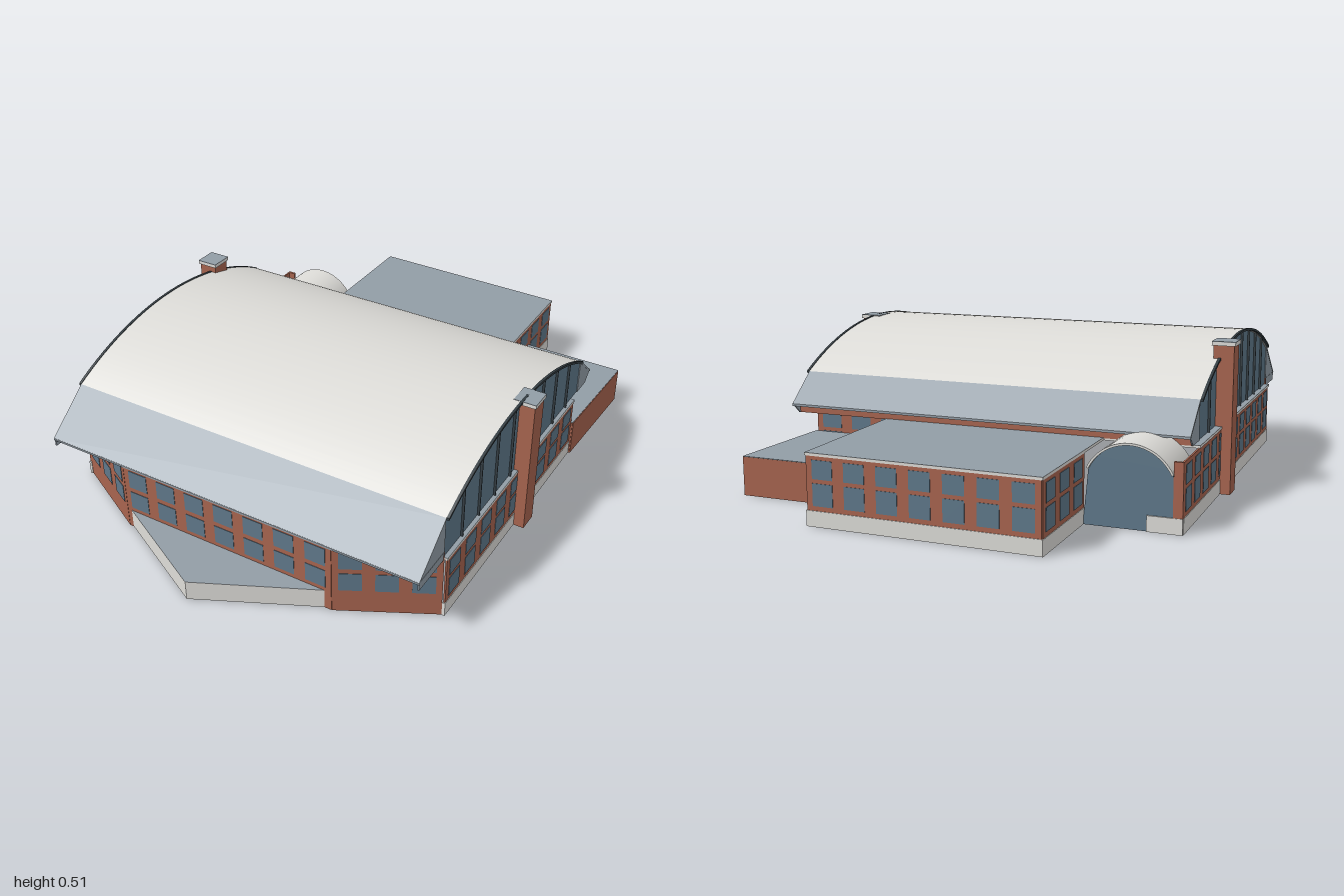
import * as THREE from 'three';
import { toCreasedNormals } from 'three/addons/utils/BufferGeometryUtils.js';

const paint = (name, color) => {
  const m = new THREE.MeshStandardMaterial({ color, side: THREE.DoubleSide });
  m.name = name;
  return m;
};

export function createModel() {
  const model = new THREE.Group();
  const brick = paint('brick', 0xa7644f);
  const glass = paint('glass', 0x5f788a);
  const white = paint('pale metal and concrete', 0xdddcd8);
  const slate = paint('slate roof', 0x929da6);
  const dark = paint('dark trim', 0x343d42);

  const add = (name, geo, mat, parent = model) => {
    const mesh = new THREE.Mesh(geo, mat);
    mesh.name = name;
    parent.add(mesh);
    return mesh;
  };
  const box = (name, x0, x1, y0, y1, z0, z1, mat, parent) =>
    add(name, new THREE.BoxGeometry(x1 - x0, y1 - y0, z1 - z0)
      .translate((x0 + x1) / 2, (y0 + y1) / 2, (z0 + z1) / 2), mat, parent);
  const extrude = (pts, depth) => new THREE.ExtrudeGeometry(
    new THREE.Shape(pts.map(([a, b]) => new THREE.Vector2(a, b))), { depth, bevelEnabled: false });

  // Horizontal slab from [x, z] outline
  const slab = (name, pts, y, h, mat) =>
    add(name, extrude(pts.map(([x, z]) => [x, -z]), h).rotateX(-Math.PI / 2).translate(0, y, 0), mat);

  // Side profile from [z, y] points, drawn out along x
  const across = (name, pts, x0, x1, mat) =>
    add(name, toCreasedNormals(extrude(pts.map(([z, y]) => [-z, y]), x1 - x0)
      .rotateY(Math.PI / 2).translate(x0, 0, 0), 0.4), mat);

  // Thin straight wall with optional base course and a grid of windows
  const sideRows = [[0.065, 0.135], [0.148, 0.207]];
  const frontRows = [[0.085, 0.152], [0.17, 0.237]];
  const wall = (name, [ax, az], [bx, bz], h, count = 0, rows = sideRows, base = 0.05, fill = 0.64) => {
    const g = new THREE.Group();
    g.name = name;
    g.position.set(ax, 0, az);
    g.rotation.y = -Math.atan2(bz - az, bx - ax);
    model.add(g);
    const len = Math.hypot(bx - ax, bz - az);
    box('brickwork', 0, len, 0, h, -0.003, 0.003, brick, g);
    if (base) box('baseCourse', -0.004, len + 0.004, 0, base, -0.005, 0.005, white, g);
    const step = len / count;
    for (let i = 0; i < count; i++)
      for (const [y0, y1] of rows)
        box('window', (i + 0.5 - fill / 2) * step, (i + 0.5 + fill / 2) * step, y0, y1, -0.0045, 0.0045, glass, g);
  };

  // Bowed front facade
  wall('frontWall', [-0.4, 0.807], [0.4, 0.807], 0.25, 7, frontRows, 0);
  wall('leftFrontWall', [0.4, 0.807], [0.7, 0.65], 0.25, 3, frontRows, 0);
  wall('rightFrontWall', [-0.7, 0.65], [-0.4, 0.807], 0.25, 3, frontRows, 0);
  slab('frontSoffit', [[-0.7, 0.65], [0.7, 0.65], [0.7, 0.81], [-0.7, 0.81]], 0.245, 0.006, slate);

  // Side and rear walls
  wall('leftWall', [0.707, 0.65], [0.707, -0.34], 0.22, 9);
  wall('hallBackWall', [0.707, -0.34], [0.355, -0.34], 0.22, 3);
  wall('rearBlockLeftWall', [0.355, -0.34], [0.35, -0.98], 0.22, 6);
  wall('rearBlockBackWall', [0.35, -0.98], [-0.407, -0.99], 0.22, 7);
  wall('rearBlockRightWall', [-0.407, -0.99], [-0.407, -0.65], 0.22, 3);
  wall('rightWall', [-0.717, -0.655], [-0.707, 0.65], 0.22, 12);

  // Flat roof with pale edge
  slab('flatRoof', [[-0.715, 0.65], [0.711, 0.65], [0.711, -0.345], [0.36, -0.345], [0.354, -0.985],
    [-0.411, -0.995], [-0.411, -0.47], [-0.72, -0.47]], 0.219, 0.009, [slate, white]);

  // Low brick annex
  wall('annexFrontWall', [0.7, -0.34], [0.716, -0.34], 0.13, 0, [], 0);
  wall('annexSideWall', [0.716, -0.34], [0.73, -0.763], 0.13, 0, [], 0);
  wall('annexBackWall', [0.73, -0.763], [0.355, -0.763], 0.13, 0, [], 0);
  slab('annexRoof', [[0.355, -0.34], [0.716, -0.34], [0.732, -0.765], [0.355, -0.765]], 0.126, 0.006, slate);

  // Pointed terrace
  slab('terrace', [[-0.385, 0.81], [-0.015, 1], [0.375, 0.81]], 0, 0.07, [slate, white]);

  // Great arched roof
  const archY = (z, r) => -0.61 + Math.sqrt(r * r - (z - 0.145) ** 2);
  const arc = (r, n = 32) => Array.from({ length: n + 1 }, (_, i) => {
    const z = 0.65 - (1.05 * i) / n;
    return [z, archY(z, r)];
  });
  across('archedRoof', [...arc(1.11), ...arc(1.102).reverse()], -0.7, 0.7, white);
  across('frontEave', [[0.65, 0.379], [0.811, 0.25], [0.811, 0.243], [0.65, 0.37]], -0.7, 0.7, slate);
  across('backEave', [[-0.4, 0.357], [-0.513, 0.262], [-0.513, 0.254], [-0.4, 0.348]], -0.7, 0.7, slate);
  box('rearUpperWall', -0.695, 0.695, 0.226, 0.285, -0.473, -0.467, brick);

  // Glazed gables with mullions, edge trim and eave cheeks
  for (const s of [-1, 1]) {
    const at = (name, pts, a, b, mat) => across(name, pts, Math.min(s * a, s * b), Math.max(s * a, s * b), mat);
    at('gableGlass', [...arc(1.104), [-0.4, 0.226], [0.65, 0.226]], 0.69, 0.696, glass);
    at('gableTrim', [...arc(1.112), ...arc(1.104).reverse()], 0.7, 0.709, dark);
    at('frontCheek', [[0.65, 0.375], [0.808, 0.248], [0.808, 0.22], [0.65, 0.22]], 0.694, 0.699, slate);
    at('backCheek', [[-0.4, 0.355], [-0.51, 0.258], [-0.475, 0.226], [-0.4, 0.226]], 0.694, 0.699, slate);
    for (let i = 1; i < 9; i++) {
      const z = 0.65 - (1.05 * i) / 9;
      at('mullion', [[z, 0.226], [z, archY(z, 1.104)], [z + 0.003, archY(z, 1.104)], [z + 0.003, 0.226]],
        0.695, 0.704, dark);
    }
  }

  // Rear entrance with barrel roof
  const barrel = (r, n = 20) => Array.from({ length: n + 1 }, (_, i) => {
    const a = Math.PI / 2 - 1.12 + (2.24 * i) / n;
    return [-0.557 + r * Math.cos(a), 0.115 + r * Math.sin(a)];
  });
  add('entranceRoof', toCreasedNormals(extrude([...barrel(0.15), ...barrel(0.143).reverse()], 0.2)
    .translate(0, 0, -0.67), 0.5), white);
  add('entranceGlass', extrude([[-0.41, 0], ...barrel(0.145), [-0.71, 0]], 0.006).translate(0, 0, -0.66), glass);
  box('entranceBase', -0.72, -0.61, 0, 0.05, -0.665, -0.655, white);
  box('entrancePier', -0.72, -0.69, 0.05, 0.22, -0.663, -0.653, brick);

  // Two brick chimneys with pale caps
  const chimney = (name, x, z, top) => {
    const g = new THREE.Group();
    g.name = name;
    g.position.set(x, 0, z);
    model.add(g);
    box('shaft', -0.034, 0.034, 0, top - 0.012, -0.036, 0.036, brick, g);
    box('cap', -0.039, 0.039, top - 0.014, top - 0.002, -0.041, 0.041, white, g);
    box('capTop', -0.039, 0.039, top - 0.002, top, -0.041, 0.041, slate, g);
  };
  chimney('leftChimney', 0.715, 0.108, 0.501);
  chimney('rightChimney', -0.718, -0.143, 0.508);

  return model;
}
